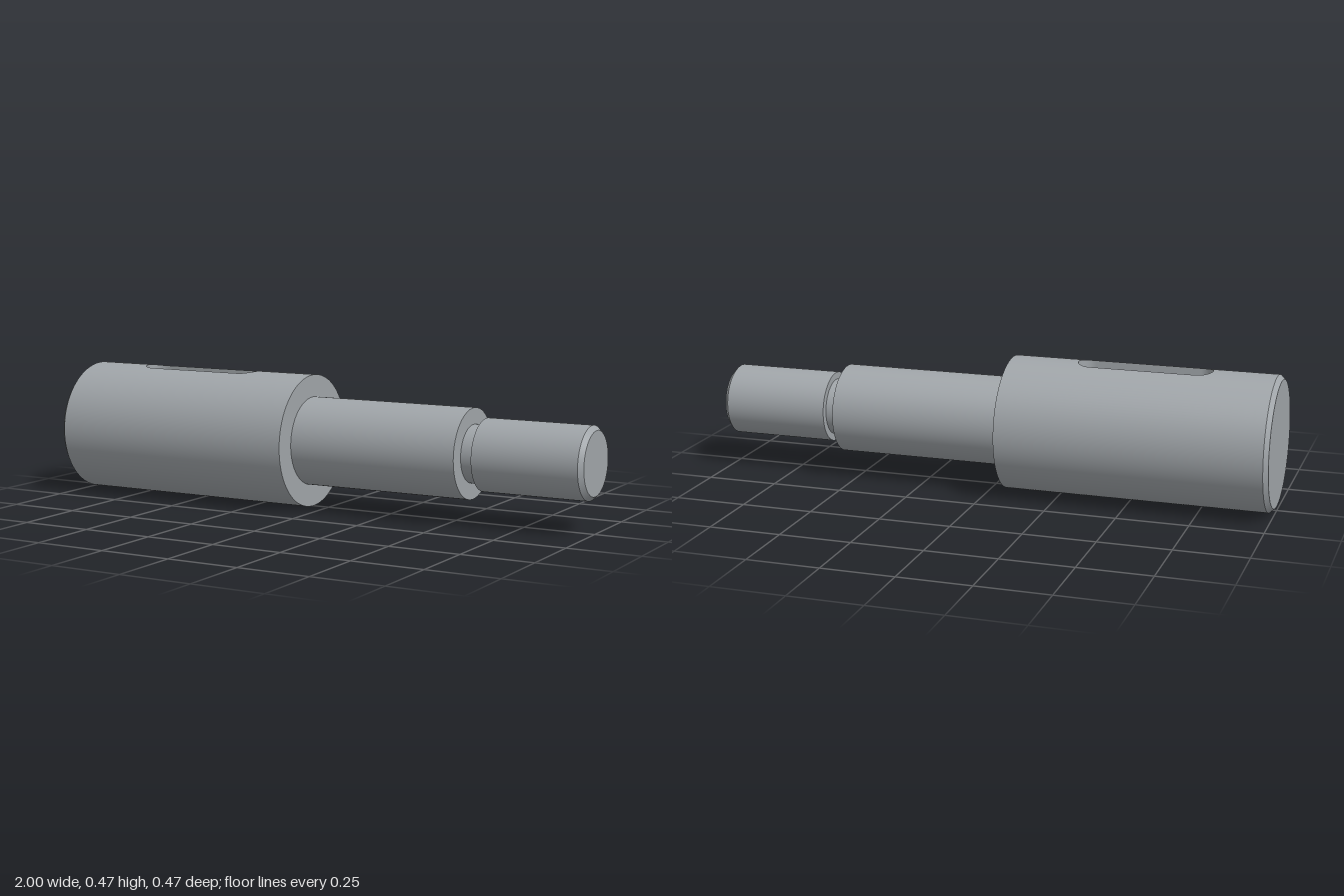
import * as THREE from 'three';
import { mergeGeometries } from 'three/addons/utils/BufferGeometryUtils.js';

const SEGMENTS = 128;
const R = 0.2344;                         // drum radius, also the axis height
const DRUM_START = -0.9844, DRUM_END = -0.0625;
const SLOT = { left: -0.767, right: -0.298, half: 0.05, floor: R - 0.055 };
const GAP = Math.asin(SLOT.half / R);     // half angle the slot takes from the drum

// Turned surface around the x axis; each [x, radius] span keeps crisp edges.
function turned(profile, start = 0, length = Math.PI * 2) {
  const spans = [];
  for (let i = 0; i + 1 < profile.length; i++) {
    const pts = [profile[i], profile[i + 1]].map(([x, r]) => new THREE.Vector2(r, x));
    spans.push(new THREE.LatheGeometry(pts, SEGMENTS, start, length));
  }
  return mergeGeometries(spans).rotateZ(-Math.PI / 2);
}

// Ruled surface between two rows of points.
function ruled(a, b) {
  const index = [], n = a.length;
  for (let i = 0; i + 1 < n; i++) index.push(i, i + 1, n + i, i + 1, n + i + 1, n + i);
  const g = new THREE.BufferGeometry().setFromPoints([...a, ...b]);
  g.setIndex(index);
  g.computeVertexNormals();
  return g;
}

// Give a strip lying on the drum true radial normals.
function radial(g) {
  const p = g.attributes.position;
  for (let i = 0; i < p.count; i++) g.attributes.normal.setXYZ(i, 0, p.getY(i) / R, p.getZ(i) / R);
  return g;
}

export function createModel() {
  const steel = new THREE.MeshStandardMaterial({ color: 0xa0a5a9 });
  steel.name = 'steel grey';
  const shaft = new THREE.Group();
  shaft.name = 'steppedShaft';
  const add = (name, geometry) => {
    const mesh = new THREE.Mesh(geometry, steel);
    mesh.name = name;
    shaft.add(mesh);
  };

  // Turned parts, from the thick end to the thin end
  add('drumEnd', turned([[-1, 0], [-1, 0.2188], [DRUM_START, R]]));
  add('drum', turned([[DRUM_START, R], [DRUM_END, R]], -Math.PI / 2 + GAP, 2 * (Math.PI - GAP)));
  add('drumShoulder', turned([[DRUM_END, R], [DRUM_END, 0.1563]]));
  add('middleJournal', turned([[DRUM_END, 0.1563], [0.5605, 0.1563], [0.5605, 0.1]]));
  add('reliefGroove', turned([[0.5605, 0.1], [0.609, 0.1]]));
  add('endJournal', turned([[0.609, 0.1], [0.609, 0.125], [0.9844, 0.125], [1, 0.1094], [1, 0]]));

  // Edge rows of the round-ended keyway, running from -z to +z
  const row = (xAt, yAt) => Array.from({ length: 25 }, (_, i) => {
    const t = Math.PI * i / 24, z = -SLOT.half * Math.cos(t);
    return new THREE.Vector3(xAt(SLOT.half * (1 - Math.sin(t))), yAt(z), z);
  });
  const onDrum = z => Math.sqrt(R * R - z * z), onFloor = () => SLOT.floor;
  const leftEnd = d => SLOT.left + d, rightEnd = d => SLOT.right - d;
  const rimL = row(leftEnd, onDrum), rimR = row(rightEnd, onDrum);
  const floorL = row(leftEnd, onFloor), floorR = row(rightEnd, onFloor);

  // Drum skin either side of the keyway, then its floor and wall
  add('drumSkinLeft', radial(ruled(row(() => DRUM_START, onDrum), rimL)));
  add('drumSkinRight', radial(ruled(rimR, row(() => DRUM_END, onDrum))));
  add('keywayFloor', ruled(floorL, floorR));
  const loop = (l, r) => [...l, ...[...r].reverse(), l[0]];
  add('keywayWall', ruled(loop(rimL, rimR), loop(floorL, floorR)));

  shaft.position.y = R;
  const model = new THREE.Group();
  model.name = 'shaft';
  model.add(shaft);
  return model;
}
